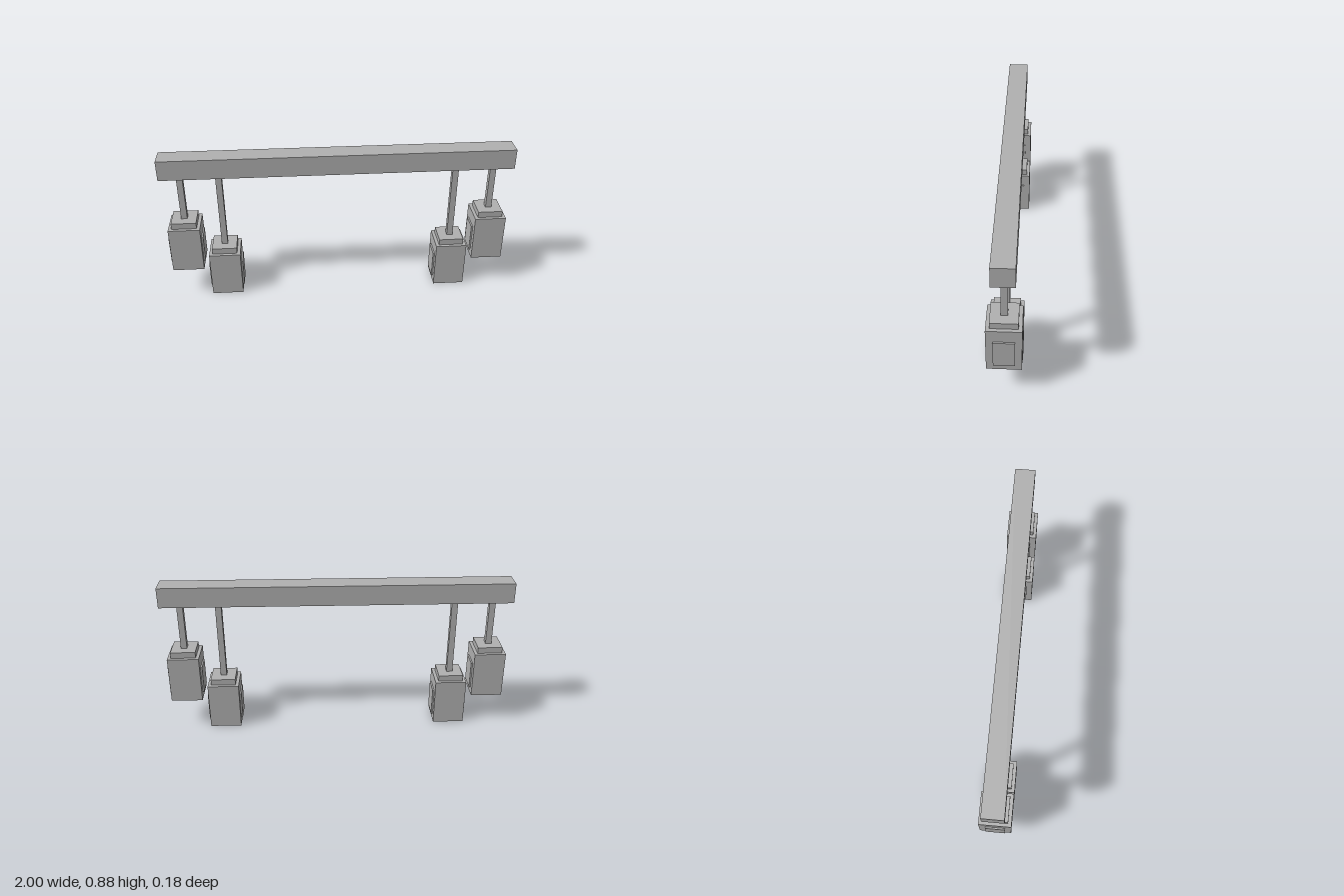
import * as THREE from 'three';

export function createModel() {
  const model = new THREE.Group();
  model.name = 'hangingLanternBeam';
  const grey = new THREE.MeshStandardMaterial({ color: 0xb0b0b0 });
  grey.name = 'grey';

  // Box from its size, centre x and bottom height
  function box(parent, name, w, h, d, x, bottom) {
    const mesh = new THREE.Mesh(new THREE.BoxGeometry(w, h, d), grey);
    mesh.name = name;
    mesh.position.set(x, bottom + h / 2, 0);
    parent.add(mesh);
  }

  const beamBottom = 0.767;
  box(model, 'beam', 2, 0.117, 0.118, 0, beamBottom);

  // Lantern hung from the beam: body, stepped cap, square rod and two side panels
  function lantern(name, x, bottom) {
    const group = new THREE.Group();
    group.name = name;
    group.position.set(x, bottom, 0);
    box(group, 'body', 0.181, 0.273, 0.181, 0, 0);
    box(group, 'cap', 0.143, 0.036, 0.143, 0, 0.273);
    box(group, 'rod', 0.035, beamBottom - bottom - 0.309, 0.035, 0, 0.309);
    for (const side of [-1, 1]) {
      box(group, 'sidePanel', 0.009, 0.163, 0.11, side * 0.095, 0.037);
    }
    model.add(group);
  }

  // High outer and low inner lantern at each end
  for (const side of [-1, 1]) {
    const label = side > 0 ? 'left' : 'right';
    lantern(label + 'OuterLantern', side * 0.89, 0.183);
    lantern(label + 'InnerLantern', side * 0.673, 0);
  }
  return model;
}
